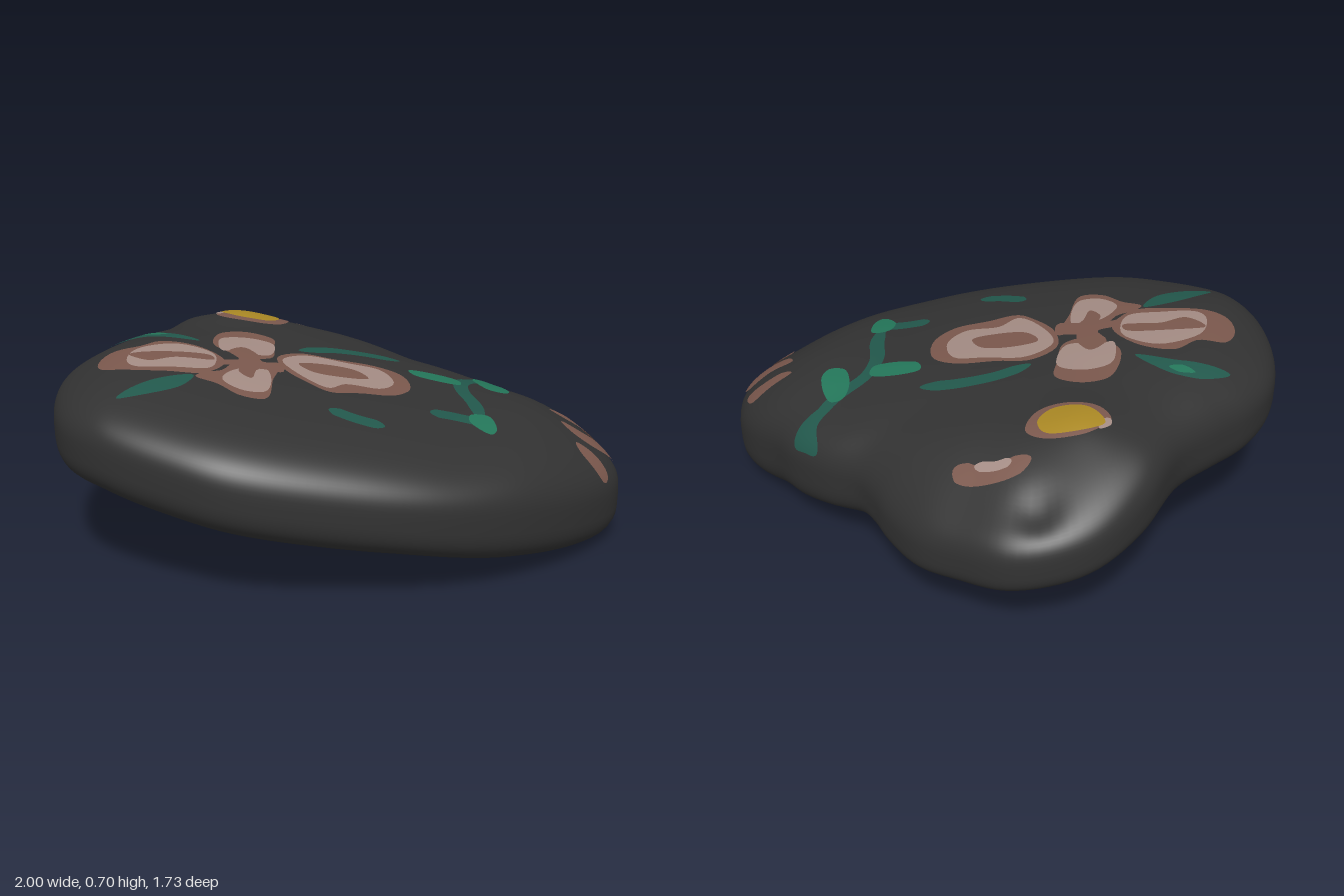
import * as THREE from 'three';
import { mergeGeometries } from 'three/addons/utils/BufferGeometryUtils.js';

const mat = (name, color) => new THREE.MeshStandardMaterial({ name, color, side: THREE.DoubleSide });
const CX = -0.2; // pole of the pebble
const TOP_POWER = 2.8, BOTTOM_POWER = 3.4; // squareness of the rim above and below
const { smoothstep } = THREE.MathUtils;

// Flat [x, z, ...] list to points
const points = (list) => {
  const out = [];
  for (let i = 0; i < list.length; i += 2) out.push(new THREE.Vector3(list[i], 0, list[i + 1]));
  return out;
};
const smoothLoop = (list, n) => new THREE.CatmullRomCurve3(points(list), true).getPoints(n).slice(0, n);

// Distance from the pole to a closed loop along an angle
function rayHit(loop, angle) {
  const dx = Math.cos(angle), dz = Math.sin(angle);
  let best = 0;
  loop.forEach((p, i) => {
    const q = loop[(i + 1) % loop.length];
    const ex = q.x - p.x, ez = q.z - p.z, px = p.x - CX;
    const det = dx * ez - dz * ex;
    if (Math.abs(det) < 1e-9) return;
    const r = (px * ez - p.z * ex) / det;
    const u = (px * dz - p.z * dx) / det;
    if (r > 0 && u >= -1e-6 && u <= 1 + 1e-6) best = Math.max(best, r);
  });
  return best;
}

const outline = smoothLoop([
  1, 0, 0.94, -0.16, 0.85, -0.25, 0.72, -0.33, 0.6, -0.42, 0.47, -0.48, 0.31, -0.53, 0.22, -0.6,
  0.15, -0.67, 0, -0.78, -0.15, -0.83, -0.33, -0.87, -0.48, -0.83, -0.62, -0.73, -0.72, -0.56,
  -0.78, -0.3, -0.88, -0.12, -0.96, 0.02, -1, 0.18, -0.97, 0.4, -0.88, 0.6, -0.75, 0.72,
  -0.5, 0.82, -0.28, 0.86, 0.1, 0.8, 0.39, 0.7, 0.63, 0.55, 0.81, 0.37, 0.93, 0.2, 0.98, 0.1], 300);
const opening = points([0.06, 0.51, 0.2, -0.35, -0.18, -0.62, -0.58, -0.39, -0.69, 0.13]);

// Rim radius by angle, tabulated
const STEPS = 720;
const rimTable = Array.from({ length: STEPS }, (_, i) => rayHit(outline, (i / STEPS) * Math.PI * 2));
function rim(angle) {
  const f = ((angle / (Math.PI * 2)) % 1 + 1) % 1 * STEPS, i = Math.floor(f);
  return THREE.MathUtils.lerp(rimTable[i % STEPS], rimTable[(i + 1) % STEPS], f - i);
}

// Tilted middle surface, and the heights above and below it
const middle = (x, z) => 0.37 - 0.175 * x - 0.03 * smoothstep(x, 0.6, 1)
  - 0.045 * smoothstep(-x, 0.7, 1) - 0.07 * smoothstep(-z, 0.42, 0.8);
function height(x, z, swell, up) {
  if (!up) return middle(x, z) - swell * (0.222 + 0.05 * smoothstep(x, 0.2, 0.75) - 0.045 * smoothstep(-z, 0.45, 0.7));
  const blob = (cx, cz, r) => Math.exp(-((x - cx) ** 2 + (z - cz) ** 2) / (r * r));
  return middle(x, z) + swell * (0.228 + 0.035 * smoothstep(x, 0.4, 0.8))
    + 0.018 * blob(-0.45, -0.4, 0.12) - 0.025 * blob(-0.4, -0.73, 0.07);
}
function topY(x, z) {
  const s = Math.min(Math.hypot(x - CX, z) / rim(Math.atan2(z, x - CX)), 0.997);
  return height(x, z, (1 - s ** TOP_POWER) ** (1 / TOP_POWER), true);
}

// Grid of vertices to a smooth geometry
function gridGeometry(rows, cols, closed, at) {
  const pos = [], index = [];
  for (let i = 0; i < rows; i++) for (let j = 0; j < cols; j++) pos.push(...at(i, j));
  for (let i = 0; i < rows - 1; i++) for (let j = 0; j < (closed ? cols : cols - 1); j++) {
    const k = (j + 1) % cols;
    const a = i * cols + j, b = a + cols, c = i * cols + k, d = c + cols;
    index.push(a, c, b, c, d, b);
  }
  const g = new THREE.BufferGeometry();
  g.setAttribute('position', new THREE.Float32BufferAttribute(pos, 3));
  g.setIndex(index);
  g.computeVertexNormals();
  return g;
}

// Hollow pebble: top from the pole to the rim, then underside in to the opening
function pebbleGeometry() {
  const nTop = 36, nBottom = 24, cols = 160;
  return gridGeometry(nTop + nBottom + 1, cols, true, (i, j) => {
    const angle = (j / cols) * Math.PI * 2, r = rim(angle), up = i <= nTop;
    const power = up ? TOP_POWER : BOTTOM_POWER;
    let a = (i / nTop) * Math.PI / 2;
    if (!up) {
      const hole = Math.asin((rayHit(opening, angle) / r) ** (power / 2));
      a = THREE.MathUtils.lerp(Math.PI / 2, hole, (i - nTop) / nBottom);
    }
    const s = Math.sin(a) ** (2 / power), swell = Math.max(Math.cos(a), 0) ** (2 / power);
    const x = CX + s * r * Math.cos(angle), z = s * r * Math.sin(angle);
    return [x, height(x, z, swell, up), z];
  });
}

// Point on the top surface, moved along its normal
function onTop(x, z, offset) {
  const e = 0.004;
  const n = new THREE.Vector3(topY(x - e, z) - topY(x + e, z), 2 * e, topY(x, z - e) - topY(x, z + e)).normalize();
  return [x + n.x * offset, topY(x, z) + n.y * offset, z + n.z * offset];
}

export function createModel() {
  const model = new THREE.Group();
  const stone = mat('charcoal stone', 0x323232);
  const brown = mat('brown paint', 0x7b584d);
  const pink = mat('pale pink paint', 0xa48c84);
  const teal = mat('dark green paint', 0x22584c);
  const green = mat('leaf green paint', 0x24775a);
  const yellow = mat('yellow paint', 0xaa8824);

  const add = (name, geometry, material) => {
    const mesh = new THREE.Mesh(geometry, material);
    mesh.name = name;
    model.add(mesh);
  };
  // Paint soaks through: one skin outside and one inside the shell
  const paint = (name, material, layer, build) => {
    const d = 0.002 + 0.002 * layer;
    add(name, mergeGeometries([build(d), build(-d)]), material);
  };
  // Filled blob with a smooth outline, rings closer together near its edge
  const patch = (name, material, layer, list) => {
    const loop = smoothLoop(list, 48);
    const c = loop.reduce((s, p) => s.add(p), new THREE.Vector3()).divideScalar(loop.length);
    paint(name, material, layer, (d) => gridGeometry(10, loop.length, true, (i, j) => {
      const p = c.clone().lerp(loop[j], 1 - (1 - i / 9) ** 2);
      return onTop(p.x, p.z, d);
    }));
  };
  // Brush stroke along a curve, rounded at both ends
  const stroke = (name, material, layer, width, list) => {
    const curve = new THREE.CatmullRomCurve3(points(list));
    paint(name, material, layer, (d) => gridGeometry(33, 4, false, (i, j) => {
      const t = i / 32, p = curve.getPoint(t), dir = curve.getTangent(t);
      const w = (j / 3 - 0.5) * width * Math.min(1, Math.sqrt(Math.sin(Math.PI * t) * 2 + 0.02));
      return onTop(p.x - dir.z * w, p.z + dir.x * w, d);
    }));
  };

  add('pebble', pebbleGeometry(), stone);

  // Flower: brown petals, pale fills, brown hearts
  patch('rightPetal', brown, 1, [-0.24, 0.05, -0.17, -0.04, -0.05, -0.05, 0.1, -0.07, 0.2, -0.03, 0.24, 0.1,
    0.19, 0.2, 0.08, 0.25, -0.02, 0.3, -0.1, 0.26, -0.2, 0.17]);
  patch('rightPetalFill', pink, 2, [-0.22, 0.08, -0.15, -0.02, 0, -0.03, 0.12, -0.03, 0.18, 0.08, 0.14, 0.17,
    0.02, 0.2, -0.03, 0.27, -0.12, 0.22]);
  patch('rightPetalHeart', brown, 3, [-0.16, 0.09, -0.06, 0.04, 0.04, 0.04, 0.09, 0.1, 0.01, 0.14, -0.1, 0.15]);
  patch('backPetal', brown, 1, [-0.49, -0.07, -0.47, -0.14, -0.39, -0.18, -0.29, -0.15, -0.27, -0.05,
    -0.26, 0.08, -0.34, 0.13, -0.41, 0.1, -0.47, 0.05]);
  patch('backPetalFill', pink, 2, [-0.46, -0.05, -0.38, -0.1, -0.28, -0.08, -0.27, 0.06, -0.32, 0.08,
    -0.36, 0.05, -0.43, 0.1, -0.46, 0.03]);
  patch('leftPetal', brown, 1, [-0.83, 0.3, -0.81, 0.2, -0.72, 0.16, -0.66, 0.08, -0.55, 0.08, -0.44, 0.15,
    -0.4, 0.22, -0.45, 0.35, -0.57, 0.38, -0.7, 0.4, -0.79, 0.38]);
  patch('leftPetalFill', pink, 2, [-0.72, 0.2, -0.6, 0.1, -0.48, 0.13, -0.44, 0.18, -0.44, 0.3, -0.55, 0.34,
    -0.68, 0.37, -0.72, 0.33]);
  patch('leftPetalHeart', brown, 3, [-0.73, 0.26, -0.6, 0.2, -0.46, 0.18, -0.44, 0.22, -0.57, 0.25, -0.65, 0.31]);
  patch('frontPetal', brown, 1, [-0.36, 0.18, -0.23, 0.15, -0.22, 0.3, -0.22, 0.47, -0.3, 0.48, -0.39, 0.42,
    -0.47, 0.39, -0.45, 0.34, -0.4, 0.3]);
  patch('frontPetalFill', pink, 2, [-0.36, 0.28, -0.27, 0.2, -0.23, 0.28, -0.23, 0.42, -0.3, 0.44, -0.38, 0.38]);
  patch('flowerCore', brown, 3, [-0.41, 0.1, -0.37, 0.03, -0.31, 0.08, -0.28, 0.15, -0.22, 0.13, -0.2, 0.22,
    -0.28, 0.23, -0.29, 0.33, -0.34, 0.29, -0.35, 0.23, -0.42, 0.26, -0.42, 0.21, -0.36, 0.17]);

  // Yellow bud and the small arc behind it
  patch('budRim', brown, 1, [-0.54, -0.4, -0.48, -0.47, -0.35, -0.5, -0.28, -0.47, -0.29, -0.37, -0.36, -0.32,
    -0.48, -0.32, -0.54, -0.37]);
  patch('bud', yellow, 3, [-0.53, -0.41, -0.47, -0.46, -0.35, -0.48, -0.31, -0.43, -0.34, -0.36, -0.45, -0.34]);
  patch('budTip', pink, 2, [-0.55, -0.41, -0.52, -0.44, -0.51, -0.4, -0.54, -0.38]);
  stroke('arc', brown, 1, 0.07, [-0.33, -0.57, -0.25, -0.62, -0.15, -0.635, -0.08, -0.61]);
  stroke('arcFill', pink, 2, 0.035, [-0.27, -0.585, -0.22, -0.605, -0.15, -0.605]);

  // Three brown marks on the right end
  patch('endMark', brown, 1, [0.74, -0.09, 0.8, -0.14, 0.87, -0.175, 0.915, -0.12, 0.85, -0.09, 0.79, -0.07]);
  patch('endMark', brown, 1, [0.78, 0, 0.86, -0.02, 0.94, -0.06, 0.975, -0.02, 0.9, 0.05, 0.82, 0.05]);
  patch('endMark', brown, 1, [0.83, 0.11, 0.89, 0.1, 0.945, 0.13, 0.925, 0.18, 0.85, 0.16]);

  // Vine with leaves, its tip running over the rim
  stroke('vine', teal, 1, 0.055, [0.55, -0.4, 0.49, -0.26, 0.42, -0.14, 0.42, -0.03, 0.47, 0.1, 0.5, 0.24]);
  stroke('vineTwig', teal, 1, 0.065, [0.32, 0.27, 0.4, 0.25, 0.5, 0.24]);
  patch('vineTip', teal, 1, [0.48, -0.46, 0.535, -0.443, 0.59, -0.41, 0.585, -0.37, 0.54, -0.31, 0.5, -0.27,
    0.48, -0.3, 0.51, -0.38]);
  patch('vineLeaf', green, 2, [0.46, -0.27, 0.5, -0.28, 0.59, -0.15, 0.58, -0.1, 0.52, -0.1, 0.46, -0.2]);
  patch('vineLeaf', green, 2, [0.22, -0.11, 0.28, -0.14, 0.4, -0.14, 0.41, -0.08, 0.25, -0.06]);
  patch('vineLeaf', green, 2, [0.46, 0.2, 0.52, 0.18, 0.55, 0.28, 0.53, 0.32, 0.46, 0.27]);

  // Loose leaves around the flower
  stroke('backLeaf', teal, 1, 0.06, [-0.18, -0.07, -0.08, -0.15, 0.05, -0.2, 0.18, -0.22]);
  stroke('frontLeaf', teal, 1, 0.06, [-0.01, 0.44, 0.08, 0.465, 0.18, 0.47]);
  patch('leftLeaf', teal, 1, [-0.86, 0.04, -0.77, -0.05, -0.67, -0.06, -0.53, 0.02, -0.68, 0.015]);
  patch('leftLeafSpot', green, 2, [-0.75, -0.03, -0.7, -0.05, -0.66, -0.03, -0.7, -0.01]);
  patch('frontLeftLeaf', teal, 1, [-0.69, 0.6, -0.6, 0.46, -0.48, 0.38, -0.5, 0.48, -0.59, 0.56]);

  return model;
}
